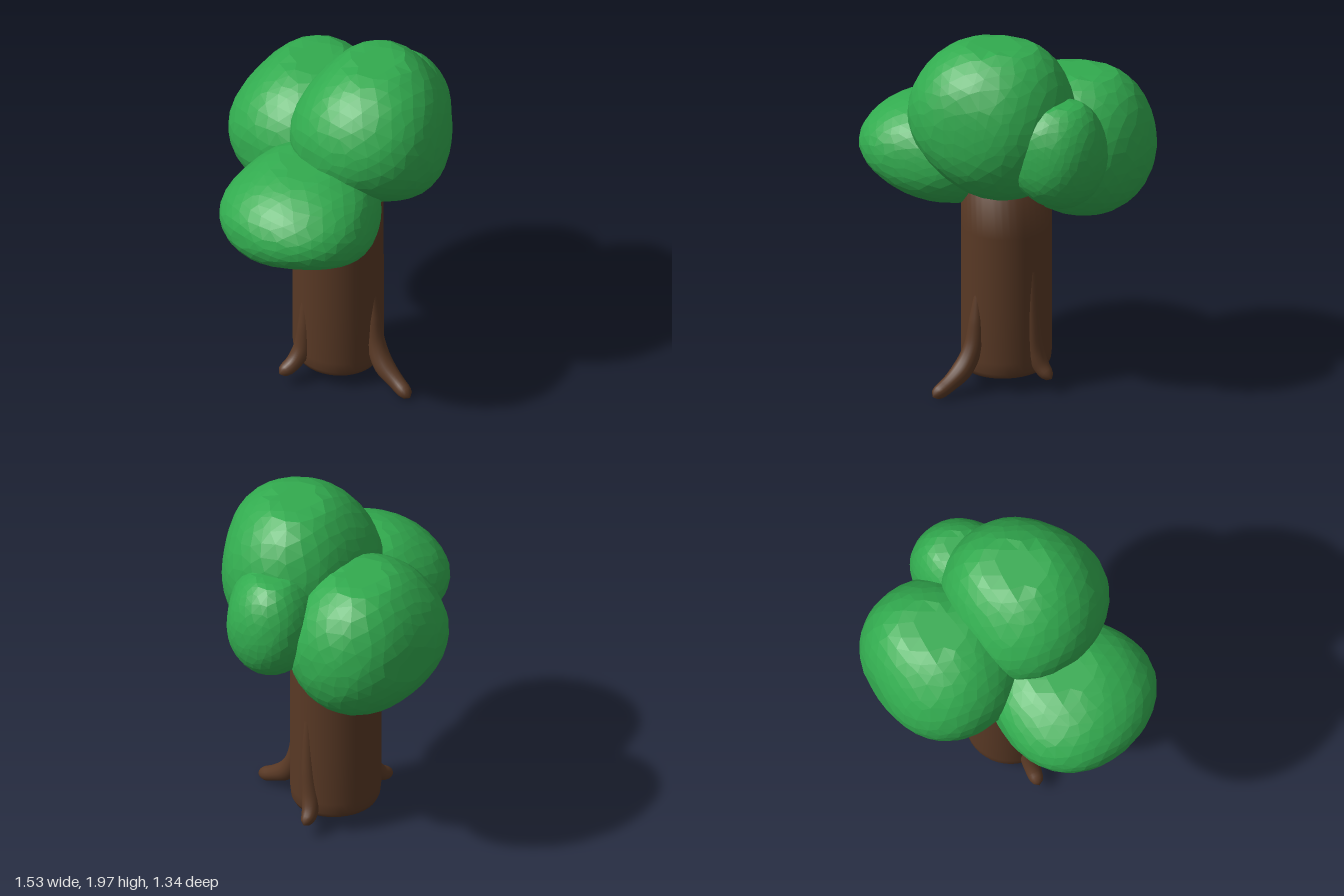
import * as THREE from 'three';
import { mergeVertices } from 'three/addons/utils/BufferGeometryUtils.js';

const leafGreen = new THREE.MeshStandardMaterial({ color: 0x32ab4f, flatShading: true });
leafGreen.name = 'leaf green';
const barkBrown = new THREE.MeshStandardMaterial({ color: 0x593925 });
barkBrown.name = 'bark brown';

// Swellings and hollows of a leaf clump: direction, amount
const BUMPS = [
  [0.4, 0.8, -0.45, 0.14], [-0.45, -0.75, 0.5, -0.15], [0.6, -0.7, -0.4, 0.08],
  [0.6, 0.1, 0.8, -0.1], [0.6, 0, -0.8, 0.07], [-0.45, 0.1, 0.9, 0.04],
  [-0.75, 0, -0.66, 0.06], [0, 0.8, 0.6, 0.04], [-0.6, 0.8, 0, 0.03],
].map(([x, y, z, a]) => ({ dir: new THREE.Vector3(x, y, z).normalize(), a }));

// Lumpy unit ball, flattened where it would pass its bounds
function clumpGeometry() {
  const geo = new THREE.IcosahedronGeometry(1, 6);
  const p = geo.attributes.position;
  const v = new THREE.Vector3();
  const one = new THREE.Vector3(1, 1, 1), minus = new THREE.Vector3(-1, -1, -1);
  for (let i = 0; i < p.count; i++) {
    v.fromBufferAttribute(p, i);
    // uneven facets
    const j = 0.03;
    v.set(v.x + j * Math.sin(23 * v.y + 17 * v.z), v.y + j * Math.sin(19 * v.z + 29 * v.x),
      v.z + j * Math.sin(31 * v.x + 13 * v.y)).normalize();
    let r = 1.005;
    for (const b of BUMPS) r += b.a * Math.pow(Math.max(0, v.dot(b.dir)), 6);
    v.multiplyScalar(r).clamp(minus, one);
    p.setXYZ(i, v.x, v.y, v.z);
  }
  geo.computeVertexNormals();
  return geo;
}

// Column with a bevelled, slightly slanted foot
function trunkGeometry() {
  const profile = [[0, 0.1], [0.19, 0.1], [0.222, 0.112], [0.236, 0.14], [0.242, 0.2],
    [0.242, 0.5], [0.241, 0.9], [0.24, 1.3], [0, 1.3]].map(([x, y]) => new THREE.Vector2(x, y));
  const geo = new THREE.LatheGeometry(profile, 40);
  const p = geo.attributes.position;
  for (let i = 0; i < p.count; i++) {
    if (p.getY(i) < 0.3) p.setY(i, p.getY(i) - p.getZ(i) * 0.05);
  }
  return geo;
}

// Tapered tube with a rounded tip; each point is x, y, z, radius
function rootGeometry(points) {
  const rings = 32, sides = 14;
  const curve = new THREE.CatmullRomCurve3(points.map(([x, y, z]) => new THREE.Vector3(x, y, z)));
  const radii = new THREE.CatmullRomCurve3(points.map((q) => new THREE.Vector3(q[3], 0, 0)));
  let geo = new THREE.TubeGeometry(curve, rings, 1, sides);
  const p = geo.attributes.position;
  const v = new THREE.Vector3();
  for (let i = 0; i < p.count; i++) {
    const t = Math.floor(i / (sides + 1)) / rings;
    const c = curve.getPointAt(t);
    const end = Math.max(0, (t - 0.9) / 0.1);
    const r = radii.getPoint(curve.getUtoTmapping(t)).x * Math.sqrt(Math.max(0, 1 - end * end));
    v.fromBufferAttribute(p, i).sub(c).multiplyScalar(r).add(c);
    p.setXYZ(i, v.x, v.y, v.z);
  }
  geo.deleteAttribute('uv');
  geo.deleteAttribute('normal');
  geo = mergeVertices(geo, 1e-5);
  geo.computeVertexNormals();
  return geo;
}

export function createModel() {
  const tree = new THREE.Group();
  tree.name = 'tree';
  const add = (name, geo, mat) => {
    const mesh = new THREE.Mesh(geo, mat);
    mesh.name = name;
    tree.add(mesh);
    return mesh;
  };

  add('trunk', trunkGeometry(), barkBrown).position.set(0.033, 0, 0.071);

  // Roots run down the trunk and splay outwards
  const roots = {
    frontRoot: [[0.09, 0.56, 0.285, 0.02], [0.09, 0.42, 0.293, 0.04], [0.09, 0.27, 0.315, 0.05],
      [0.09, 0.16, 0.375, 0.055], [0.1, 0.09, 0.475, 0.043], [0.105, 0.042, 0.575, 0.038]],
    rightRoot: [[-0.175, 0.6, 0.06, 0.025], [-0.185, 0.38, 0.06, 0.04], [-0.2, 0.22, 0.05, 0.05],
      [-0.26, 0.14, 0.04, 0.043], [-0.34, 0.105, 0.03, 0.036]],
    leftRoot: [[0.245, 0.7, 0.05, 0.03], [0.25, 0.4, 0.045, 0.042], [0.258, 0.22, 0.025, 0.048],
      [0.295, 0.14, 0, 0.042], [0.35, 0.105, -0.015, 0.034]],
  };
  for (const [name, points] of Object.entries(roots)) add(name, rootGeometry(points), barkBrown);

  // Leaf clumps: name, centre, half sizes
  const leaf = clumpGeometry();
  const clumps = [
    ['topLeaves', [0.15, 1.575, 0.245], [0.44, 0.425, 0.417]],
    ['rightLeaves', [-0.335, 1.267, 0.24], [0.43, 0.285, 0.43]],
    ['backLeaves', [0.147, 1.357, -0.258], [0.443, 0.398, 0.412]],
    ['leftLeaves', [0.5, 1.455, 0.065], [0.262, 0.29, 0.265]],
  ];
  for (const [name, centre, half] of clumps) {
    const mesh = add(name, leaf, leafGreen);
    mesh.position.set(...centre);
    mesh.scale.set(...half);
  }
  return tree;
}
